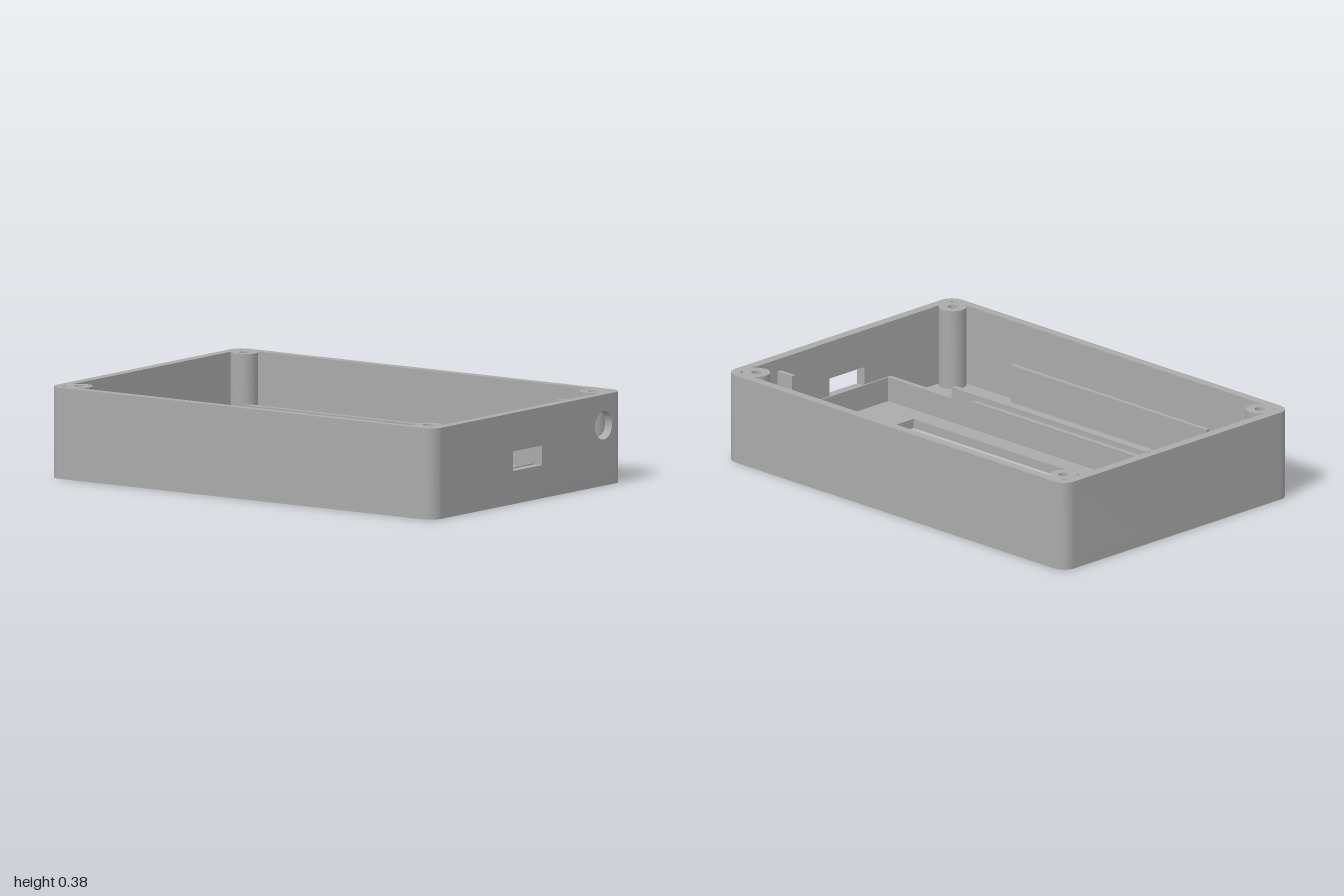
import * as THREE from 'three';
import { toCreasedNormals } from 'three/addons/utils/BufferGeometryUtils.js';

const H = 0.385, FLOOR = 0.04;          // case height, floor thickness
const X = 1, Z = 0.67, R = 0.06;        // outer half sizes, corner radius
const IX = 0.957, IZ = 0.63;            // inner half sizes

export function createModel() {
  const model = new THREE.Group();
  model.name = 'enclosure';
  const grey = new THREE.MeshStandardMaterial({ color: 0xaaaaaa });
  grey.name = 'grey plastic';

  const add = (name, geometry) => {
    const mesh = new THREE.Mesh(geometry, grey);
    mesh.name = name;
    model.add(mesh);
    return mesh;
  };
  const extrude = (shape, depth) => toCreasedNormals(
    new THREE.ExtrudeGeometry(shape, { depth, bevelEnabled: false, curveSegments: 16 }), 0.6);
  // Plan shape (x, -z) raised from y0 to y1
  const raise = (name, shape, y0, y1) =>
    add(name, extrude(shape, y1 - y0).rotateX(-Math.PI / 2).translate(0, y0, 0));
  // Block given by its limits
  const block = (name, x0, x1, y0, y1, z0, z1) =>
    add(name, new THREE.BoxGeometry(x1 - x0, y1 - y0, z1 - z0)
      .translate((x0 + x1) / 2, (y0 + y1) / 2, (z0 + z1) / 2));
  const rect = (path, x0, x1, y0, y1) =>
    path.moveTo(x0, y0).lineTo(x1, y0).lineTo(x1, y1).lineTo(x0, y1).closePath();
  // Outer outline, from the left side's back corner round to its front corner
  const outline = () => {
    const s = new THREE.Shape();
    s.moveTo(X, Z - R);
    s.absarc(X - R, Z - R, R, 0, Math.PI / 2);
    s.absarc(-X + R, Z - R, R, Math.PI / 2, Math.PI);
    s.absarc(-X + R, -Z + R, R, Math.PI, Math.PI * 1.5);
    s.absarc(X - R, -Z + R, R, Math.PI * 1.5, Math.PI * 2);
    return s;
  };

  // Floor with display window
  const floor = outline();
  const opening = new THREE.Path();
  rect(opening, -0.717, 0.717, -0.16, 0.475);
  floor.holes.push(opening);
  raise('floor', floor, 0, FLOOR);

  // Three walls and the corners
  const walls = outline();
  for (const [x, y] of [[IX, -Z + R], [IX, -IZ], [-IX, -IZ], [-IX, IZ], [IX, IZ], [IX, Z - R]])
    walls.lineTo(x, y);
  raise('walls', walls, FLOOR, H);

  // Left wall with slot and round port, drawn in (-z, y)
  const side = new THREE.Shape();
  rect(side, -Z + R, Z - R, FLOOR, H);
  const slot = new THREE.Path(), port = new THREE.Path();
  rect(slot, -0.11, 0.095, 0.14, 0.223);
  port.absarc(0.527, 0.255, 0.06, 0, Math.PI * 2);
  side.holes.push(slot, port);
  add('portWall', extrude(side, X - IX).rotateY(Math.PI / 2).translate(IX, 0, 0));

  // Screw posts
  for (const x of [-0.905, 0.905]) for (const z of [-0.58, 0.58]) {
    const post = new THREE.Shape();
    post.absarc(x, -z, 0.058, 0, Math.PI * 2);
    const hole = new THREE.Path();
    hole.absarc(x, -z, 0.021, 0, Math.PI * 2);
    post.holes.push(hole);
    raise('screwPost', post, FLOOR, H);
  }

  // Low frame round the display
  block('frontFrameWall', -IX, IX, FLOOR, 0.145, 0.244, 0.268);
  block('backFrameWall', -IX, 0.82, FLOOR, 0.145, -0.58, -0.553);
  for (const s of [-1, 1])
    block('sideLedge', s * 0.954 - 0.004, s * 0.954 + 0.004, FLOOR, 0.145, -0.55, 0.25);

  // Retaining rails that overhang the display
  block('frontRail', -0.91, 0.435, 0.135, 0.172, 0.22, 0.246);
  block('backRail', -0.91, 0.435, 0.135, 0.172, -0.555, -0.53);

  // Upright plates of the front compartment
  block('innerPlate', -0.575, 0.575, FLOOR, 0.195, 0.2435, 0.2685);
  block('outerPlate', -0.575, 0.575, FLOOR, 0.205, 0.595, 0.615);

  // Holder for the round port
  block('portHolderBase', 0.815, 0.9, FLOOR, 0.17, -0.61, -0.45);
  block('portHolderFront', 0.815, 0.9, FLOOR, 0.36, -0.46, -0.44);
  block('portHolderBack', 0.815, 0.9, FLOOR, 0.36, -0.62, -0.6);

  return model;
}
